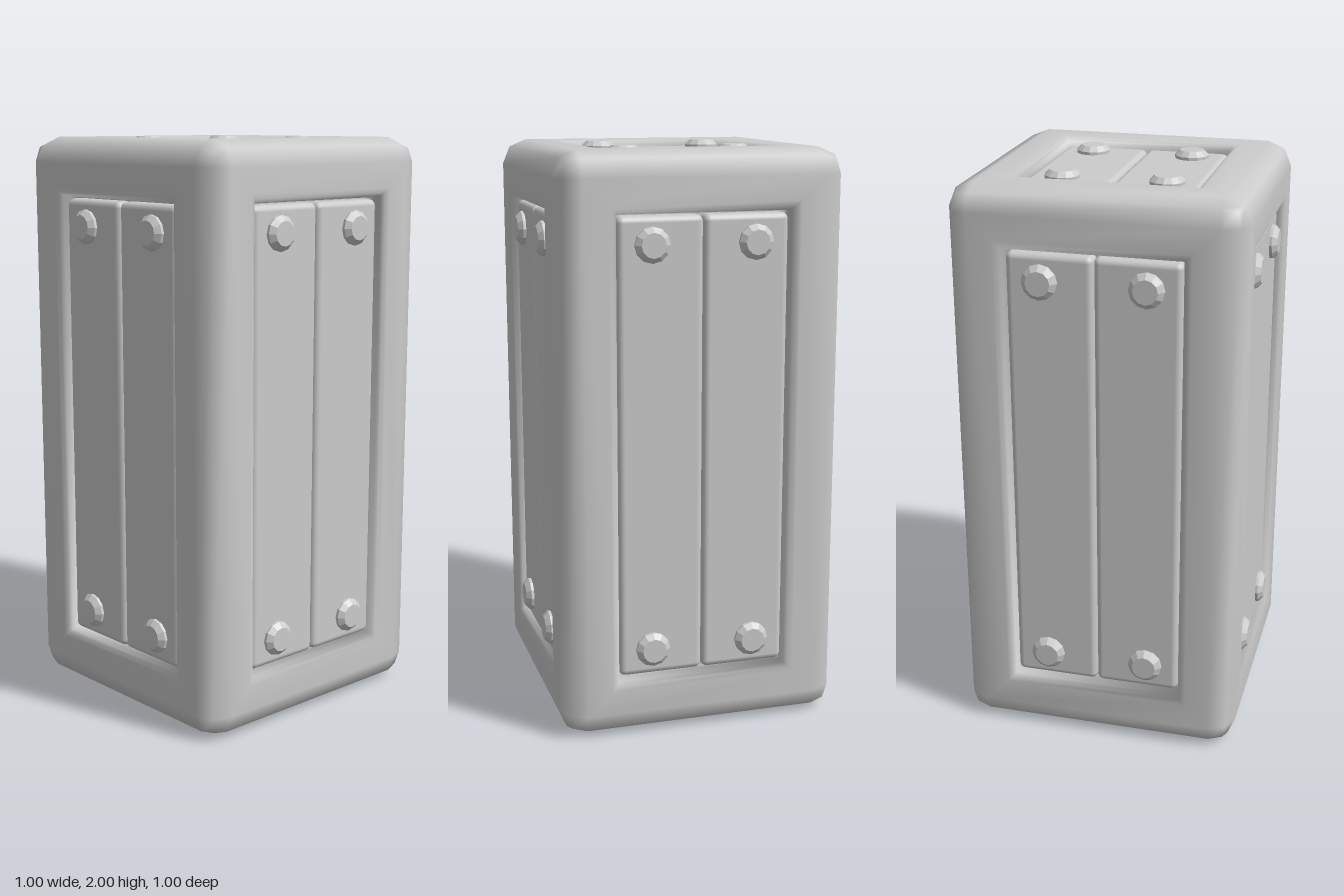
import * as THREE from 'three';
import { mergeVertices } from 'three/addons/utils/BufferGeometryUtils.js';
import { RoundedBoxGeometry } from 'three/addons/geometries/RoundedBoxGeometry.js';

const HALF = 0.498, HALF_H = 0.998, RADIUS = 0.086; // body half sizes, edge rounding
const BORDER = 0.204;                               // frame width around each opening
const PLANK_DEPTH = 0.025;                          // planks sit this far below the frame

const material = new THREE.MeshStandardMaterial({ color: 0xcccccc });
const flatMaterial = new THREE.MeshStandardMaterial({ color: 0xcccccc, flatShading: true });

// Each face is modelled looking along +z, then turned into place
const faces = [
  { name: 'front', rot: [0, 0, 0], dist: HALF, hv: HALF_H },
  { name: 'left', rot: [0, Math.PI / 2, 0], dist: HALF, hv: HALF_H },
  { name: 'back', rot: [0, Math.PI, 0], dist: HALF, hv: HALF_H },
  { name: 'right', rot: [0, -Math.PI / 2, 0], dist: HALF, hv: HALF_H },
  { name: 'top', rot: [-Math.PI / 2, 0, 0], dist: HALF_H, hv: HALF },
  { name: 'bottom', rot: [Math.PI / 2, 0, 0], dist: HALF_H, hv: HALF },
];

// Rounded body whose six flat faces are replaced by bevelled recesses
function frameGeometry() {
  let box = new RoundedBoxGeometry(2 * HALF, 2 * HALF_H, 2 * HALF, 1, RADIUS);
  if (box.index) box = box.toNonIndexed();
  const p = box.attributes.position, n = box.attributes.normal;
  const verts = [];
  const isFlat = (i) => Math.max(Math.abs(n.getX(i)), Math.abs(n.getY(i)), Math.abs(n.getZ(i))) > 0.999;
  for (let i = 0; i < p.count; i += 3) {
    if (isFlat(i) && isFlat(i + 1) && isFlat(i + 2)) continue;
    for (let k = 0; k < 3; k++) verts.push(p.getX(i + k), p.getY(i + k), p.getZ(i + k));
  }

  // Recess profile: [inset from the outer edge, depth]
  const profile = [[RADIUS, 0], [BORDER - 0.034, 0], [BORDER - 0.017, 0.006],
    [BORDER - 0.006, 0.018], [BORDER, 0.045], [BORDER, 0.08]];
  const corners = [[1, 1], [-1, 1], [-1, -1], [1, -1]];
  for (const f of faces) {
    const turn = new THREE.Euler(...f.rot);
    const rings = profile.map(([inset, depth]) => corners.map(([sx, sy]) =>
      new THREE.Vector3(sx * (HALF - inset), sy * (f.hv - inset), f.dist - depth).applyEuler(turn)));
    for (let r = 0; r + 1 < rings.length; r++) {
      for (let k = 0; k < 4; k++) {
        const a = rings[r][k], b = rings[r][(k + 1) % 4];
        const c = rings[r + 1][(k + 1) % 4], d = rings[r + 1][k];
        for (const v of [a, b, c, a, c, d]) verts.push(v.x, v.y, v.z);
      }
    }
    const [a, b, c, d] = rings[rings.length - 1];
    for (const v of [a, b, c, a, c, d]) verts.push(v.x, v.y, v.z);
  }

  const g = new THREE.BufferGeometry();
  g.setAttribute('position', new THREE.Float32BufferAttribute(verts, 3));
  const merged = mergeVertices(g, 1e-4);
  merged.computeVertexNormals();
  return merged;
}

// Twelve-sided bolt with a chamfered head, pointing along +z
function boltGeometry() {
  const top = PLANK_DEPTH + 0.002;
  const pts = [[0.06, -0.01], [0.06, 0.01], [0.042, top], [0, top]].map(([x, y]) => new THREE.Vector2(x, y));
  return new THREE.LatheGeometry(pts, 12).rotateX(Math.PI / 2);
}

export function createModel() {
  const model = new THREE.Group();
  model.name = 'crate';

  const frame = new THREE.Mesh(frameGeometry(), material);
  frame.name = 'frame';
  frame.position.y = 1;
  model.add(frame);

  const bolt = boltGeometry();
  for (const f of faces) {
    const panel = new THREE.Group();
    panel.name = f.name + 'Panel';
    panel.position.y = 1;
    panel.rotation.set(...f.rot);

    const surface = f.dist - PLANK_DEPTH;
    const length = 2 * (f.hv - BORDER) - 0.012;
    const plankGeo = new RoundedBoxGeometry(0.294, length, 0.08, 2, 0.022);
    for (const sx of [-1, 1]) {
      const plank = new THREE.Mesh(plankGeo, material);
      plank.name = 'plank';
      plank.position.set(sx * 0.1475, 0, surface - 0.04);
      panel.add(plank);

      for (const sy of [-1, 1]) {
        const head = new THREE.Mesh(bolt, flatMaterial);
        head.name = 'bolt';
        head.position.set(sx * 0.178, sy * (f.hv - 0.303), surface);
        panel.add(head);
      }
    }
    model.add(panel);
  }
  return model;
}
